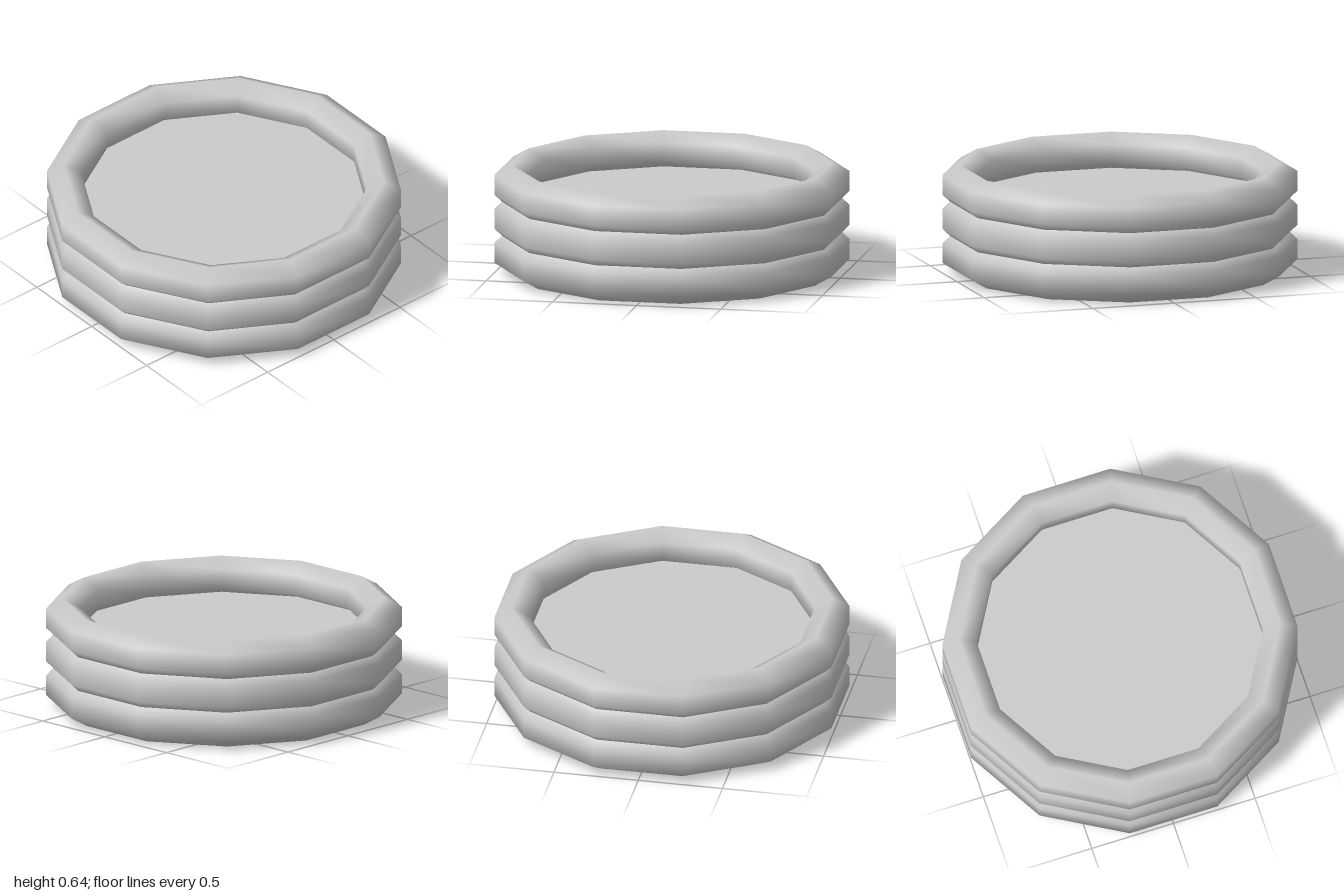
import * as THREE from 'three';

const SIDES = 12;
const STEP = Math.PI / SIDES;
const toCorner = 1 / Math.cos(STEP); // flat-side distance -> corner radius

export function createModel() {
  const model = new THREE.Group();
  const material = new THREE.MeshStandardMaterial({ color: 0xcccccc, side: THREE.DoubleSide });

  const add = (name, geometry) => {
    const mesh = new THREE.Mesh(geometry, material);
    mesh.name = name;
    model.add(mesh);
    return mesh;
  };

  // Twelve-sided inflated ring from a [flat-side distance, height] profile
  const ring = (name, profile) => add(name, new THREE.LatheGeometry(
    profile.map(([r, y]) => new THREE.Vector2(r * toCorner, y)), SIDES, STEP));

  // Flat twelve-sided sheet, facing up or down
  const sheet = (name, r, y, up) => {
    const geometry = new THREE.CircleGeometry(r * toCorner, SIDES, STEP);
    geometry.rotateX(up ? -Math.PI / 2 : Math.PI / 2);
    add(name, geometry).position.y = y;
  };

  // Three stacked rings meeting in sharp grooves
  ring('bottomRing', [[0.8, 0], [0.9, 0], [1, 0.06], [1, 0.177], [0.957, 0.22]]);
  ring('middleRing', [[0.957, 0.22], [1, 0.263], [1, 0.381], [0.957, 0.423]]);
  ring('topRing', [[0.957, 0.423], [1, 0.465], [1, 0.582], [0.902, 0.64],
    [0.805, 0.582], [0.805, 0.465], [0.88, 0.42]]);

  // Raised floor inside the top ring, and the underside
  sheet('floor', 0.9, 0.435, true);
  sheet('underside', 0.8, 0, false);

  return model;
}
